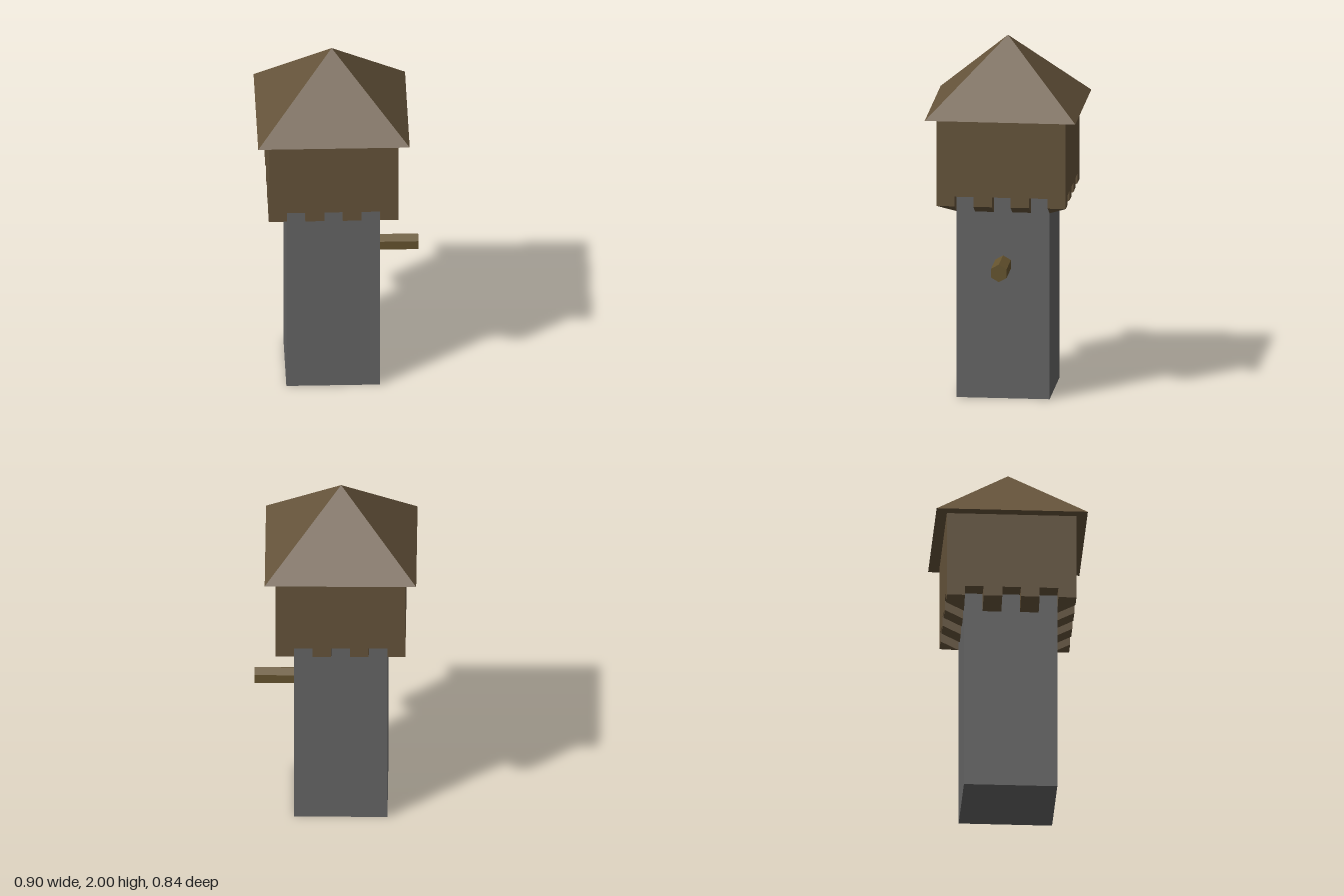
import * as THREE from 'three';

const STONE = new THREE.MeshStandardMaterial({ color: 0x666666, flatShading: true });
const WOOD = new THREE.MeshStandardMaterial({ color: 0x66543b, flatShading: true });
const BEAM = new THREE.MeshStandardMaterial({ color: 0x66542f, flatShading: true });

const SHAFT = 0.258;    // half width of the stone shaft
const ROOM = 0.358;     // half width of the wooden room
const ROOF = 0.418;     // half width of the eaves
const NOTCH_Y = 1.16;   // top of the gaps between corbels
const OUTER_Y = 1.105;  // lower edge of the room wall
const INNER_Y = 1.055;  // where the corbels meet the shaft
const EAVES_Y = 1.6;
const TOP_Y = 2;
const TOOTH = (SHAFT * 2) / 5;

function addMesh(parent, name, geometry, material) {
  const mesh = new THREE.Mesh(geometry, material);
  mesh.name = name;
  parent.add(mesh);
  return mesh;
}

function block(half, y0, y1) {
  return new THREE.BoxGeometry(half * 2, y1 - y0, half * 2).translate(0, (y0 + y1) / 2, 0);
}

// Wedge bracket on the +x side, sloping down towards the shaft
function corbelGeometry() {
  const profile = new THREE.Shape([
    new THREE.Vector2(SHAFT, NOTCH_Y),
    new THREE.Vector2(SHAFT, INNER_Y),
    new THREE.Vector2(ROOM, OUTER_Y),
    new THREE.Vector2(ROOM, NOTCH_Y),
  ]);
  return new THREE.ExtrudeGeometry(profile, { depth: TOOTH, bevelEnabled: false })
    .translate(0, 0, -TOOTH / 2);
}

// Corner bracket: a box whose bottom corner nearest the shaft is pulled down
function cornerGeometry() {
  const size = ROOM - SHAFT;
  const mid = (ROOM + SHAFT) / 2;
  const geometry = new THREE.BoxGeometry(size, NOTCH_Y - OUTER_Y, size)
    .translate(mid, (NOTCH_Y + OUTER_Y) / 2, mid);
  const p = geometry.attributes.position;
  for (let i = 0; i < p.count; i++) {
    const low = p.getY(i) < (NOTCH_Y + OUTER_Y) / 2;
    if (low && p.getX(i) < mid && p.getZ(i) < mid) p.setY(i, INNER_Y);
  }
  geometry.computeVertexNormals();
  return geometry;
}

export function createModel() {
  const model = new THREE.Group();
  model.name = 'watchtower';

  // The tower sits off centre to balance the projecting beam
  const tower = new THREE.Group();
  tower.name = 'tower';
  tower.position.x = -0.03;
  model.add(tower);

  addMesh(tower, 'stoneShaft', block(SHAFT, 0, NOTCH_Y), STONE);
  addMesh(tower, 'woodenRoom', block(ROOM, NOTCH_Y, EAVES_Y), WOOD);

  // Corbels: two per side plus one at each corner
  const corbel = corbelGeometry();
  const corner = cornerGeometry();
  for (let k = 0; k < 4; k++) {
    const side = new THREE.Group();
    side.name = 'corbelSide';
    side.rotation.y = (k * Math.PI) / 2;
    for (const s of [-1, 1]) {
      addMesh(side, 'corbel', corbel, WOOD).position.z = s * TOOTH;
    }
    addMesh(side, 'cornerCorbel', corner, WOOD);
    tower.add(side);
  }

  // Pyramid roof
  const roof = new THREE.ConeGeometry(ROOF * Math.SQRT2, TOP_Y - EAVES_Y, 4)
    .rotateY(Math.PI / 4)
    .translate(0, (EAVES_Y + TOP_Y) / 2, 0);
  addMesh(tower, 'roof', roof, WOOD);

  // Hexagonal beam projecting from the left wall
  const start = 0.2;
  const end = 0.478;
  const beam = new THREE.CylinderGeometry(0.05, 0.05, end - start, 6)
    .rotateY(Math.PI / 2)
    .rotateZ(Math.PI / 2)
    .translate((start + end) / 2, 0.76, 0);
  addMesh(tower, 'beam', beam, BEAM);

  return model;
}
